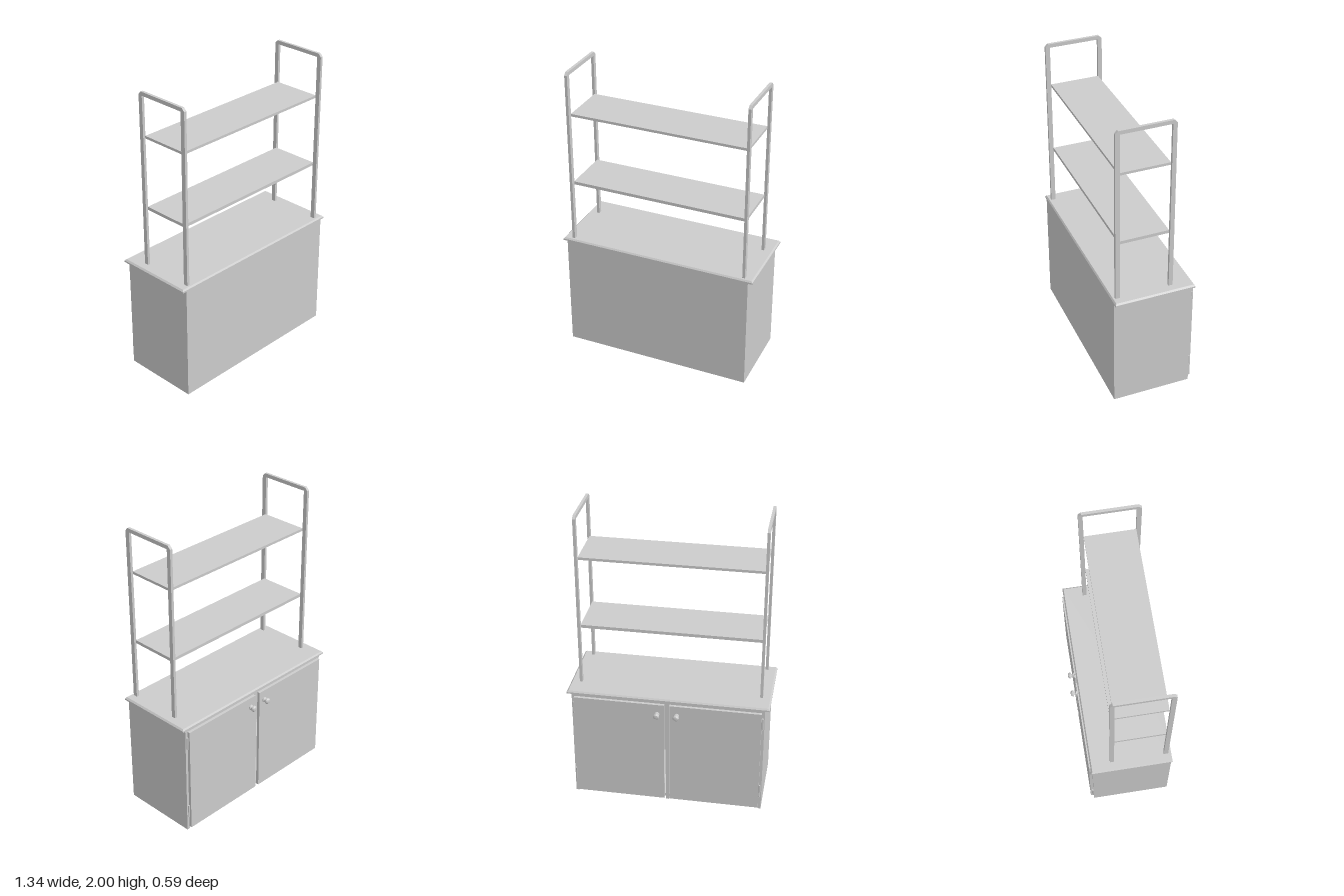
import * as THREE from 'three';

export function createModel() {
  const group = new THREE.Group();
  const mat = new THREE.MeshStandardMaterial({ color: 0xcccccc, flatShading: true });

  const add = (name, geo) => {
    const mesh = new THREE.Mesh(geo, mat);
    mesh.name = name;
    group.add(mesh);
    return mesh;
  };
  // box given by its limits on each axis
  const box = (name, x0, x1, y0, y1, z0, z1) => {
    const mesh = add(name, new THREE.BoxGeometry(x1 - x0, y1 - y0, z1 - z0));
    mesh.position.set((x0 + x1) / 2, (y0 + y1) / 2, (z0 + z1) / 2);
    return mesh;
  };

  // cabinet carcass: open behind the doors, floor raised above the lower rim
  const W = 0.64, T = 0.02, H = 0.79, ZF = 0.295, ZD = -0.235;
  box('frontPanel', -W, W, 0, H, ZF - T, ZF);
  for (const s of [-1, 1]) {
    const a = s * W, b = s * (W - T);
    box('sidePanel', Math.min(a, b), Math.max(a, b), 0, H, ZD, ZF - T);
  }
  box('divider', -0.011, 0.011, 0, H, ZD, ZF - T);
  for (const s of [-1, 1]) {
    const x0 = s < 0 ? -W + T : 0.011, x1 = s < 0 ? -0.011 : W - T;
    box('floorPanel', x0, x1, 0.025, 0.045, ZD, ZF - T);
    box('topRail', x0, x1, H - T, H, ZD, ZF - T);
  }

  // counter top with chamfered upper edge
  const top = box('counterTop', -0.67, 0.67, H, 0.8, -0.246, ZF);
  const cap = box('counterTopChamfer', -0.67, 0.67, 0.8, 0.81, -0.246, ZF);
  const p = cap.geometry.attributes.position;
  for (let i = 0; i < p.count; i++) {
    if (p.getY(i) > 0) {
      p.setX(i, p.getX(i) - Math.sign(p.getX(i)) * 0.01);
      p.setZ(i, p.getZ(i) - Math.sign(p.getZ(i)) * 0.008);
    }
  }
  cap.geometry.computeVertexNormals();

  // doors with knobs and hinges
  const knobProfile = [[0, 0], [0.018, 0], [0.018, 0.006], [0.01, 0.012], [0.01, 0.018],
    [0.021, 0.025], [0.021, 0.032], [0.014, 0.041], [0, 0.043]]
    .map(([x, y]) => new THREE.Vector2(x, y));
  for (const s of [-1, 1]) {
    const a = s * 0.018, b = s * 0.622;
    box('door', Math.min(a, b), Math.max(a, b), 0.02, 0.77, -0.255, ZD);
    const knob = add('knob', new THREE.LatheGeometry(knobProfile, 12));
    knob.rotation.x = -Math.PI / 2;
    knob.position.set(s * 0.065, 0.7, -0.255);
    for (const y of [0.15, 0.685]) {
      const hinge = add('hinge', new THREE.CylinderGeometry(0.006, 0.006, 0.09, 8));
      hinge.position.set(s * 0.628, y, -0.241);
    }
  }

  // upright frames: inverted U with clipped corners
  const frame = new THREE.Shape([
    [-0.114, 0.8], [-0.086, 0.8], [-0.086, 1.975], [0.244, 1.975], [0.244, 0.8], [0.274, 0.8],
    [0.274, 1.98], [0.255, 2], [-0.095, 2], [-0.114, 1.98],
  ].map(([z, y]) => new THREE.Vector2(-z, y)));
  for (const s of [-1, 1]) {
    const upright = add('uprightFrame',
      new THREE.ExtrudeGeometry(frame, { depth: 0.018, bevelEnabled: false }));
    upright.rotation.y = Math.PI / 2;
    upright.position.x = s * 0.603 - 0.009;
  }

  // shelves
  box('lowerShelf', -0.596, 0.596, 1.205, 1.226, -0.086, 0.244);
  box('upperShelf', -0.596, 0.596, 1.693, 1.71, -0.086, 0.244);

  return group;
}
